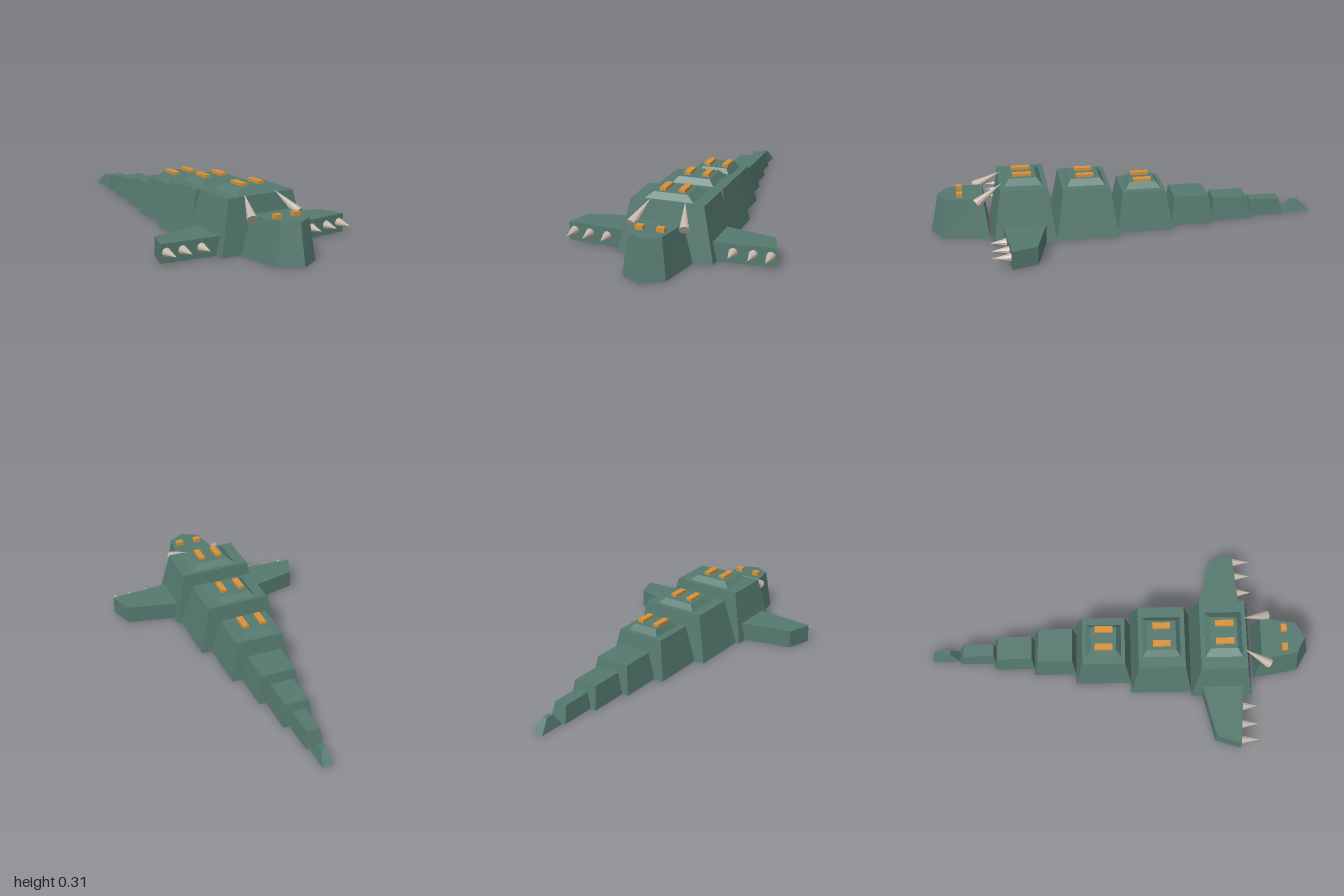
import * as THREE from 'three';

const material = (name, color) => {
  const m = new THREE.MeshStandardMaterial({ color });
  m.name = name;
  return m;
};

// Flat-faced solid between two [x, z] loops, counterclockwise seen from above
function loft(bottom, top, y0, y1) {
  const b = bottom.map(([x, z]) => [x, y0, z]);
  const t = top.map(([x, z]) => [x, y1, z]);
  const n = b.length;
  const pos = [];
  const tri = (...pts) => pts.forEach((p) => pos.push(...p));
  for (let i = 0; i < n; i++) {
    const j = (i + 1) % n;
    tri(b[i], b[j], t[j]);
    tri(b[i], t[j], t[i]);
    if (i > 0 && j > 0) {
      tri(t[0], t[i], t[j]);
      tri(b[0], b[j], b[i]);
    }
  }
  const g = new THREE.BufferGeometry();
  g.setAttribute('position', new THREE.Float32BufferAttribute(pos, 3));
  g.computeVertexNormals();
  return g;
}

const rect = (x, z0, z1) => [[x, z1], [x, z0], [-x, z0], [-x, z1]];

export function createModel() {
  const hide = material('green hide', 0x55796f);
  const amber = material('amber plates', 0xd6923c);
  const horn = material('horn', 0xc2b6aa);
  hide.flatShading = amber.flatShading = horn.flatShading = true;

  const model = new THREE.Group();
  model.name = 'armouredCrawler';
  const add = (name, geometry, mat) => {
    const mesh = new THREE.Mesh(geometry, mat);
    mesh.name = name;
    model.add(mesh);
    return mesh;
  };
  const block = (name, x0, x1, y0, y1, z0, z1) => {
    const g = new THREE.BoxGeometry(x1 - x0, y1 - y0, z1 - z0);
    add(name, g, amber).position.set((x0 + x1) / 2, (y0 + y1) / 2, (z0 + z1) / 2);
  };
  const cone = (name, radius, base, tip) => {
    const a = new THREE.Vector3(...base), b = new THREE.Vector3(...tip);
    const mesh = add(name, new THREE.ConeGeometry(radius, a.distanceTo(b), 10), horn);
    mesh.position.copy(a).lerp(b, 0.5);
    mesh.quaternion.setFromUnitVectors(new THREE.Vector3(0, 1, 0), b.sub(a).normalize());
  };

  // Body and tail: [base half width, z0, z1, top half width, z0, z1, height]
  const segments = [
    [0.243, 0.372, 0.69, 0.185, 0.41, 0.648, 0.268],
    [0.22, 0.055, 0.372, 0.165, 0.092, 0.332, 0.245],
    [0.165, -0.235, 0.055, 0.126, -0.198, 0.023, 0.202],
    [0.113, -0.457, -0.235, 0.09, -0.432, -0.252, 0.148],
    [0.078, -0.668, -0.457, 0.062, -0.645, -0.467, 0.117],
    [0.045, -0.852, -0.663, 0.034, -0.828, -0.67, 0.087],
    [0.03, -1, -0.855, 0.012, -0.942, -0.903, 0.063],
  ];
  segments.forEach(([x, z0, z1, tx, t0, t1, h], i) =>
    add(i < 3 ? 'bodySegment' : 'tailSegment', loft(rect(x, z0, z1), rect(tx, t0, t1), 0, h), hide));

  // Raised back caps: [base half width, z0, z1, top half width, z0, z1, y0, y1, plate z0, z1]
  const caps = [
    [0.122, 0.433, 0.625, 0.085, 0.46, 0.598, 0.268, 0.297, 0.485, 0.58],
    [0.108, 0.112, 0.308, 0.08, 0.135, 0.285, 0.245, 0.275, 0.165, 0.255],
    [0.086, -0.178, 0.003, 0.065, -0.155, -0.022, 0.202, 0.235, -0.133, -0.04],
  ];
  for (const [x, z0, z1, tx, t0, t1, y0, y1, p0, p1] of caps) {
    add('backCap', loft(rect(x, z0, z1), rect(tx, t0, t1), y0, y1), hide);
    for (const s of [-1, 1]) {
      block('backPlate', s * 0.048 - 0.016, s * 0.048 + 0.016, y1 - 0.003, y1 + 0.015, p0, p1);
    }
  }

  // Wedge-nosed head
  const headLoop = (back, zb, front, zf, tip) =>
    [[0, tip], [front, zf], [back, zb], [-back, zb], [-front, zf]];
  add('head', loft(headLoop(0.148, 0.705, 0.107, 0.937, 1),
    headLoop(0.113, 0.73, 0.082, 0.915, 0.96), 0, 0.202), hide);

  // Paired features
  for (const s of [-1, 1]) {
    block('eye', s * 0.052 - 0.019, s * 0.052 + 0.019, 0.2, 0.223, 0.835, 0.865);
    cone('headHorn', 0.026, [s * 0.132, 0.188, 0.768], [s * 0.086, 0.275, 0.635]);
    const plan = [[0.15, 0.645], [0.53, 0.614], [0.488, 0.487], [0.15, 0.408]]
      .map(([x, z]) => [s * x, z]);
    if (s < 0) plan.reverse();
    add('sideFin', loft(plan, plan, 0, 0.094), hide);
    [[0.5, 0.617], [0.416, 0.622], [0.32, 0.63]].forEach(([x, z]) =>
      cone('finSpike', 0.023, [s * x, 0.052, z], [s * x, 0.052, 0.71]));
  }
  return model;
}
